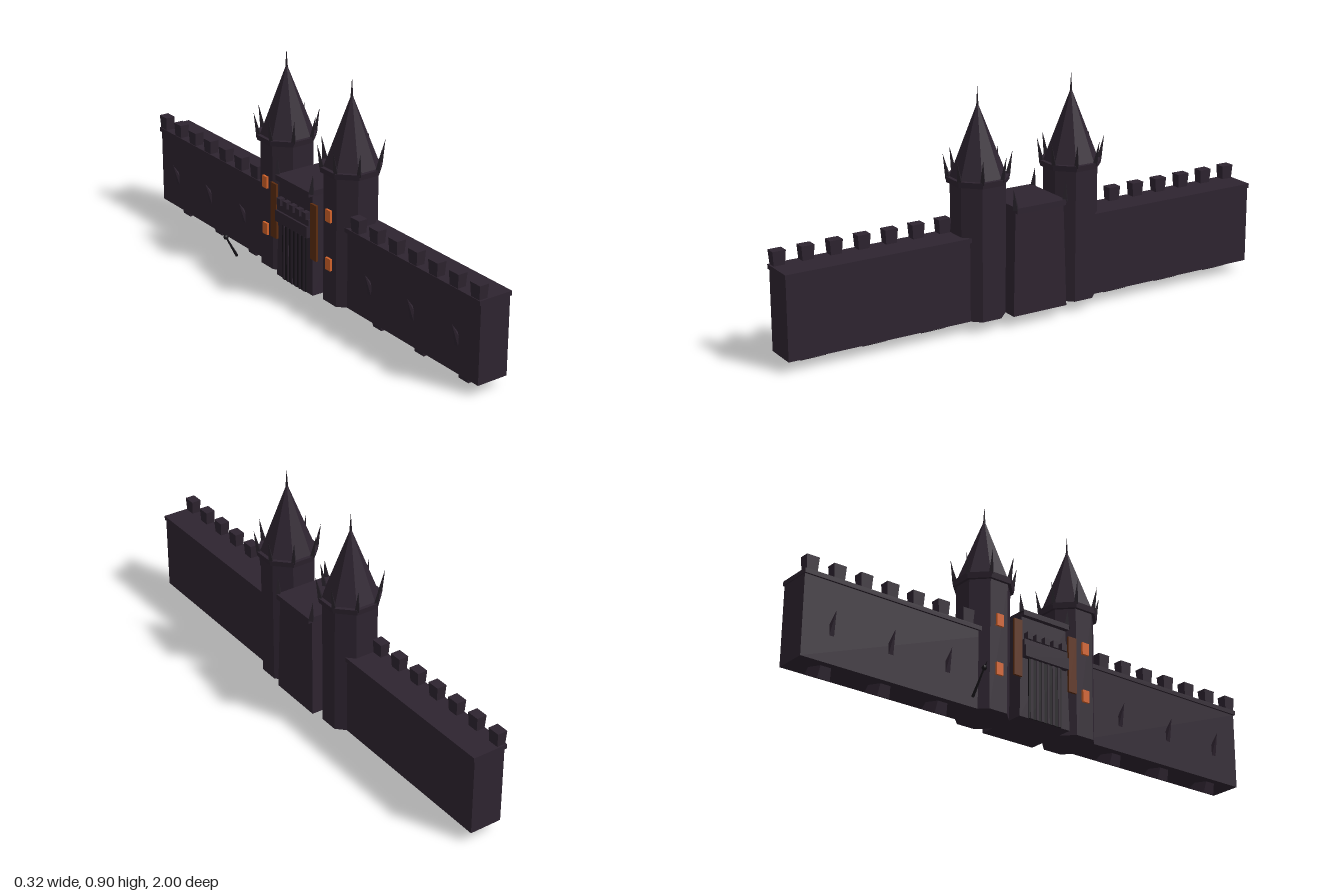
import * as THREE from 'three';

const mat = (name, color) => {
  const m = new THREE.MeshStandardMaterial({ color });
  m.name = name;
  return m;
};

export function createModel() {
  const root = new THREE.Group();
  root.name = 'fortifiedGate';
  const stone = mat('dark stone', 0x2e2430);
  const spikeStone = mat('spike stone', 0x262028);
  const iron = mat('black iron', 0x18151a);
  const wood = mat('brown wood', 0x5c2c10);
  const glow = mat('orange glow', 0xd2622a);

  // Facet a geometry so every face is flat
  const facet = (g) => {
    const f = g.index ? g.toNonIndexed() : g;
    f.computeVertexNormals();
    return f;
  };
  const add = (name, geo, material, parent = root) => {
    const m = new THREE.Mesh(facet(geo), material);
    m.name = name;
    parent.add(m);
    return m;
  };
  // Box from min/max ranges
  const box = (name, x, y, z, material, parent) => {
    const g = new THREE.BoxGeometry(x[1] - x[0], y[1] - y[0], z[1] - z[0]);
    g.translate((x[0] + x[1]) / 2, (y[0] + y[1]) / 2, (z[0] + z[1]) / 2);
    return add(name, g, material, parent);
  };
  // Box whose top is scaled about its centre
  const taperedBox = (w, h, d, sx, sz) => {
    const g = new THREE.BoxGeometry(w, h, d);
    const p = g.attributes.position;
    for (let i = 0; i < p.count; i++) {
      if (p.getY(i) > 0) p.setXYZ(i, p.getX(i) * sx, p.getY(i), p.getZ(i) * sz);
    }
    return g;
  };
  // Tapered rod between two points
  const rod = (name, a, b, rA, rB, sides, material, parent) => {
    const A = new THREE.Vector3(...a), B = new THREE.Vector3(...b);
    const dir = B.clone().sub(A);
    const g = new THREE.CylinderGeometry(rB, rA, dir.length(), sides);
    const m = add(name, g, material, parent);
    m.position.copy(A).add(B).multiplyScalar(0.5);
    m.quaternion.setFromUnitVectors(new THREE.Vector3(0, 1, 0), dir.normalize());
    return m;
  };
  // Eight-sided section with flats toward the axes
  const octagon = (name, rTop, rBottom, y0, y1, material, parent) => {
    const g = new THREE.CylinderGeometry(rTop, rBottom, y1 - y0, 8);
    g.rotateY(Math.PI / 8).translate(0, (y0 + y1) / 2, 0);
    return add(name, g, material, parent);
  };

  for (const s of [-1, 1]) {
    const range = (a, b) => (s > 0 ? [a, b] : [-b, -a]);

    // Curtain wall with overhanging walkway
    box('wall', [-0.022, 0.105], [0.045, 0.347], range(0.2, 0.997), stone);
    box('walkway', [-0.03, 0.11], [0.345, 0.362], range(0.2, 1), stone);

    // Battlements, slightly wider at the top
    for (let i = 0; i < 7; i++) {
      const m = add('merlon', taperedBox(0.034, 0.055, 0.042, 1.15, 1.2), stone);
      m.position.set(-0.01, 0.3875, s * (0.318 + i * 0.109));
    }

    // Leaning buttress spikes at the foot of the wall
    for (const z of [0.4, 0.64, 0.88]) {
      rod('buttressSpike', [0.055, 0.021, s * z], [-0.045, 0.235, s * z], 0.05, 0, 6, stone);
    }

    // Octagonal tower
    const tower = new THREE.Group();
    tower.name = 'tower';
    tower.position.set(0.043, 0, s * 0.2);
    root.add(tower);
    octagon('towerShaft', 0.102, 0.102, 0.045, 0.555, stone, tower);
    octagon('towerRing', 0.118, 0.114, 0.55, 0.572, stone, tower);
    octagon('towerRoof', 0, 0.103, 0.572, 0.84, stone, tower);
    rod('finial', [0, 0.825, 0], [0, 0.9, 0], 0.005, 0, 6, spikeStone, tower);
    for (let i = 0; i < 8; i++) {
      const a = (i + 0.5) * Math.PI / 4, c = Math.cos(a), d = Math.sin(a);
      rod('towerSpike', [c * 0.108, 0.565, d * 0.108], [c * 0.126, 0.657, d * 0.126],
        0.011, 0, 4, spikeStone, tower);
    }

    // Glowing slits on the tower front
    for (const y of [0.18, 0.37]) {
      box('towerWindow', [-0.061, -0.052], [y, y + 0.047], range(0.185, 0.215), glow);
    }

    // Wooden boards flanking the gate
    box('gateBoard', [-0.072, -0.063], [0.195, 0.415], range(0.108, 0.145), wood);

    // Corner spikes of the gatehouse roof
    for (const [x, lean] of [[-0.066, 0.004], [0.148, -0.004]]) {
      rod('gatehouseSpike', [x, 0.45, s * 0.106], [x + lean, 0.525, s * 0.112], 0.013, 0, 4, spikeStone);
    }
  }

  // Gatehouse between the towers
  const house = add('gatehouse', taperedBox(0.214, 0.395, 0.23, 0.94, 0.9), stone);
  house.position.set(0.042, 0.2425, 0);
  box('gatehouseRoof', [-0.077, 0.158], [0.437, 0.458], [-0.105, 0.105], stone);

  // Gate with vertical bars
  box('gateDoor', [-0.0685, -0.06], [0.045, 0.275], [-0.075, 0.075], iron);
  for (let i = 0; i < 6; i++) {
    const z = -0.0625 + i * 0.025;
    box('gateBar', [-0.071, -0.064], [0.045, 0.275], [z - 0.005, z + 0.005], stone);
  }

  // Parapet above the gate
  box('gateLintel', [-0.082, -0.055], [0.275, 0.32], [-0.1, 0.1], stone);
  box('gateParapet', [-0.074, -0.055], [0.32, 0.345], [-0.1, 0.1], stone);
  for (let i = 0; i < 5; i++) {
    const z = -0.08 + i * 0.04;
    box('gateMerlon', [-0.082, -0.055], [0.345, 0.372], [z - 0.012, z + 0.012], stone);
  }

  // Leaning ball-headed post outside the wall
  rod('postShaft', [-0.094, 0.045, -0.345], [-0.148, 0.14, -0.337], 0.006, 0.003, 6, iron);
  const ball = add('postBall', new THREE.SphereGeometry(0.01, 8, 6), iron);
  ball.position.set(-0.148, 0.14, -0.337);
  rod('postTip', [-0.148, 0.14, -0.337], [-0.164, 0.163, -0.335], 0.004, 0, 6, iron);

  return root;
}
